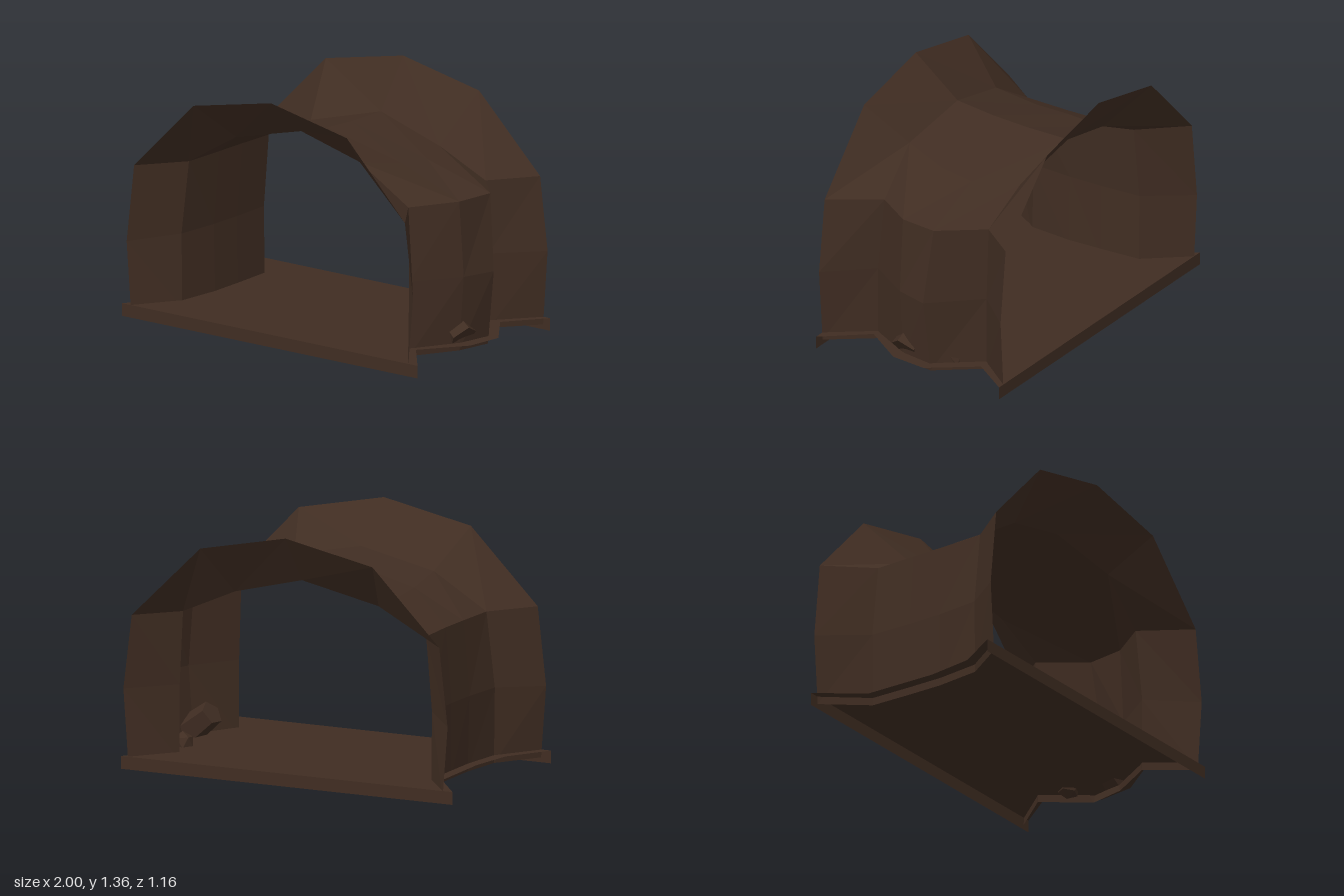
import * as THREE from 'three';

const rock = new THREE.MeshStandardMaterial({ color: 0x402d22, flatShading: true, side: THREE.DoubleSide });
rock.name = 'darkBrownRock';

// Arch cross-sections from front to back: [x, y, own z if off the section plane],
// running from the -x base over the crest to the +x base
const SECTIONS = [
  { z: 0.58, pts: [[-0.94, 0.027], [-0.97, 0.42], [-0.92, 0.85], [-0.52, 1.25], [0, 1.355], [0.51, 1.25], [0.9, 0.847], [0.955, 0.44], [0.92, 0.027]] },
  { z: 0.34, pts: [[-0.78, 0.027], [-0.785, 0.44], [-0.735, 0.85], [-0.42, 1.04], [0, 1.14, 0.315], [0.42, 1.05, 0.35], [0.72, 0.842, 0.315], [0.745, 0.44], [0.745, 0.027]] },
  { z: 0.09, pts: [[-0.75, 0.027], [-0.76, 0.44], [-0.725, 0.85], [-0.43, 1.0], [0, 1.11], [0.5, 1.0], [0.89, 0.853], [0.92, 0.44], [0.89, 0.027]] },
  { z: -0.11, pts: [[-0.75, 0.027], [-0.755, 0.44], [-0.72, 0.85], [-0.44, 0.99], [0, 1.095, -0.13], [0.52, 0.98], [0.93, 0.857, -0.13], [0.98, 0.44, -0.095], [0.93, 0.027]] },
  { z: -0.35, pts: [[-0.755, 0.027], [-0.76, 0.44], [-0.72, 0.845, -0.34], [-0.43, 0.98, -0.33], [0, 1.09, -0.385], [0.42, 0.98], [0.73, 0.842], [0.75, 0.44], [0.75, 0.027]] },
  { z: -0.58, pts: [[-0.94, 0.027], [-0.97, 0.42], [-0.92, 0.85], [-0.52, 1.25], [0, 1.355], [0.51, 1.25], [0.92, 0.847], [0.97, 0.44], [0.94, 0.027]] },
];

// Loft the thin tunnel shell through the sections
function tunnelGeometry() {
  const positions = [], index = [], n = SECTIONS[0].pts.length;
  SECTIONS.forEach(({ z, pts }, i) => {
    pts.forEach(([x, y, ownZ = z]) => positions.push(x, y, ownZ));
    if (i === 0) return;
    for (let j = 0; j < n - 1; j++) {
      const a = (i - 1) * n + j, b = a + 1, c = i * n + j, d = c + 1;
      // the sharp fold on the +x shoulder runs along the other diagonal
      if (i === 2 && j === 5) index.push(a, b, d, a, d, c);
      else index.push(a, b, c, b, d, c);
    }
  });
  const g = new THREE.BufferGeometry();
  g.setAttribute('position', new THREE.Float32BufferAttribute(positions, 3));
  g.setIndex(index);
  g.computeVertexNormals();
  return g;
}

// Thin floor sheet with a narrow ledge outside the walls
function floorGeometry() {
  const outline = [[-1, 0.58], [-0.85, 0.34], [-0.81, 0.08], [-0.815, -0.34], [-1, -0.58],
    [0.985, -0.58], [0.82, -0.36], [1, -0.11], [0.97, 0.1], [0.79, 0.34], [0.985, 0.58]];
  const shape = new THREE.Shape(outline.map(([x, z]) => new THREE.Vector2(x, -z)));
  return new THREE.ShapeGeometry(shape).rotateX(-Math.PI / 2).translate(0, 0.07, 0);
}

export function createModel() {
  const group = new THREE.Group();
  const add = (name, geometry) => {
    const mesh = new THREE.Mesh(geometry, rock);
    mesh.name = name;
    group.add(mesh);
    return mesh;
  };

  add('tunnelShell', tunnelGeometry());
  add('floor', floorGeometry());

  // Skirts under the two open ends of the floor
  for (const [name, z, turn] of [['frontSkirt', 0.58, 0], ['backSkirt', -0.58, Math.PI]]) {
    add(name, new THREE.PlaneGeometry(1.985, 0.07).rotateY(turn).translate(-0.0075, 0.035, z));
  }

  // Boulders half sunk into the side wall
  const large = add('largeBoulder', new THREE.CylinderGeometry(0.07, 0.085, 0.18, 5));
  large.position.set(0.83, 0.15, 0.06);
  large.rotation.set(-0.2, 0, 0.9);
  const small = add('smallBoulder', new THREE.IcosahedronGeometry(0.062, 0));
  small.position.set(0.81, 0.085, -0.19);
  small.rotation.set(0.2, 0.7, 0.4);

  return group;
}
